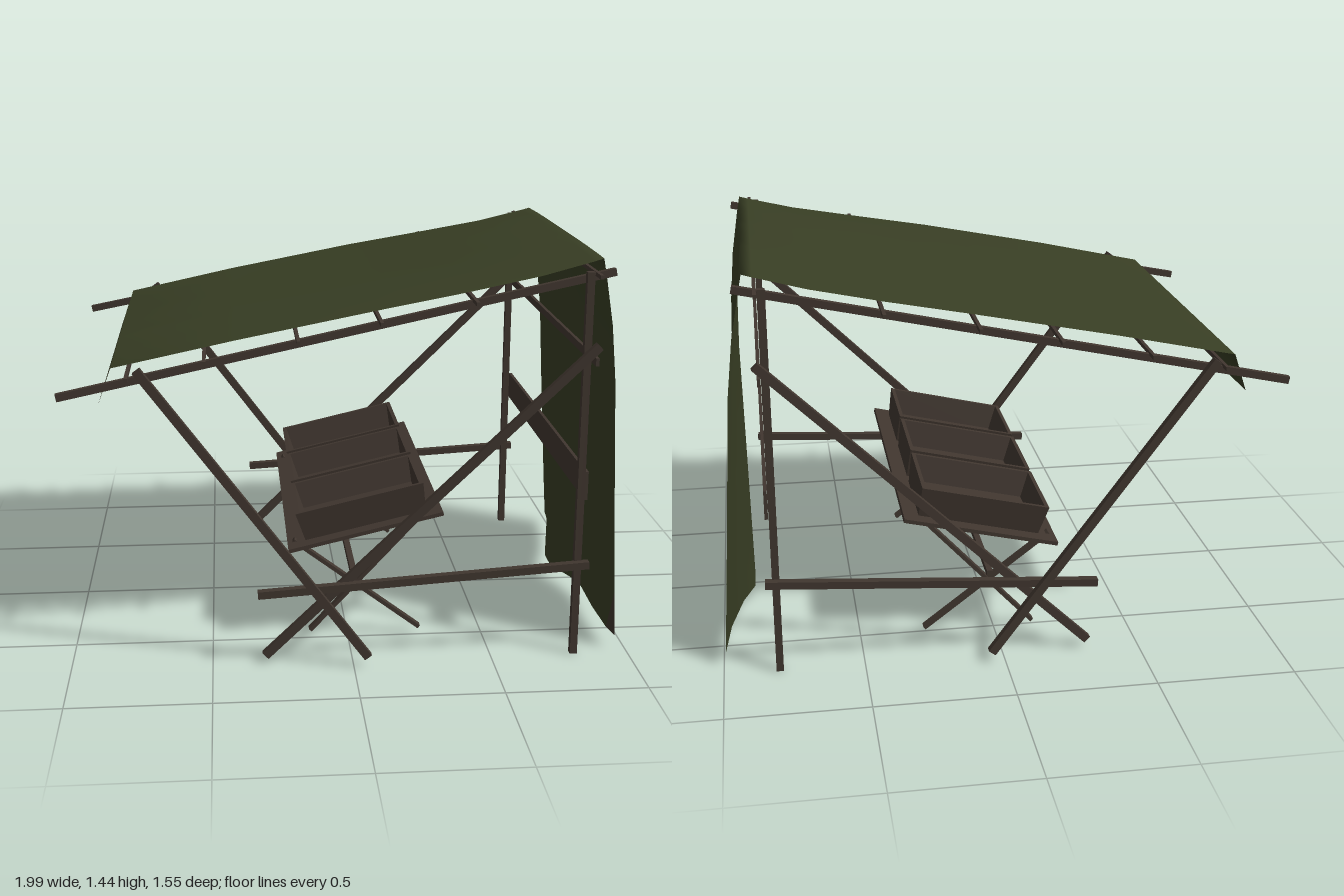
import * as THREE from 'three';

const wood = new THREE.MeshStandardMaterial({ color: 0x40362f });
wood.name = 'dark wood';
const green = new THREE.MeshStandardMaterial({ color: 0x383e24, side: THREE.DoubleSide });
green.name = 'green canvas';
const stain = new THREE.MeshStandardMaterial({ color: 0x40362e, side: THREE.DoubleSide });
stain.name = 'brown canvas';

// Square bar running from point a to point b
function bar(name, a, b, w = 0.026, h = w) {
  const p = new THREE.Vector3(...a), q = new THREE.Vector3(...b);
  const mesh = new THREE.Mesh(new THREE.BoxGeometry(w, h, p.distanceTo(q)), wood);
  mesh.position.copy(p).add(q).multiplyScalar(0.5);
  mesh.lookAt(q);
  mesh.name = name;
  return mesh;
}

// Canvas sheet: front flap, roof and hanging wall lofted from rows
function createCanopy() {
  // x, y, half width, edge drop, fold strength
  const rows = [
    [-0.87, 0.95, 0.67, 0, 0], [-0.845, 1.02, 0.675, 0, 0], [-0.82, 1.09, 0.68, 0, 0],
    [-0.4, 1.18, 0.685, 0, 0], [0.1, 1.283, 0.68, 0.006, 0], [0.4, 1.35, 0.665, 0.02, 0],
    [0.65, 1.405, 0.645, 0.028, 0], [0.83, 1.437, 0.632, 0.015, 0], [0.865, 1.437, 0.63, 0.005, 0],
    [0.872, 1.37, 0.632, 0, 0.05], [0.885, 1.2, 0.64, 0, 0.2], [0.888, 1.0, 0.645, 0, 0.36],
    [0.88, 0.6, 0.653, 0, 0.62], [0.873, 0.22, 0.66, 0, 0.88], [0.87, 0.05, 0.662, 0, 1],
  ];
  const across = [-1, -0.7, -0.4, -0.22, -0.05, 0.15, 0.3, 0.6, 0.88, 1];
  const folds = [0.122, 0.1, 0.055, 0.01, 0.008, 0.06, 0.08, 0.075, 0.08, 0.092];
  const n = across.length, pos = [], cloth = [], patch = [];
  for (const [x, y, half, drop, fold] of rows) {
    across.forEach((c, j) => pos.push(x + folds[j] * fold, y - drop * c ** 4, c * half + 0.016 * fold));
  }
  for (let i = 0; i < rows.length - 1; i++) {
    for (let j = 0; j < n - 1; j++) {
      const a = i * n + j, b = a + 1, c = a + n, d = c + 1;
      const edge = j === n - 2;
      // brown corners at the two ends of the sheet
      (edge && i < 2 ? patch : cloth).push(a, b, d);
      if (edge && i === rows.length - 2) {
        cloth.length -= 3;
        cloth.push(a, b, c);
        patch.push(b, d, c);
        patch.push();
      } else {
        cloth.push(a, d, c);
      }
    }
  }
  const geo = new THREE.BufferGeometry();
  geo.setAttribute('position', new THREE.Float32BufferAttribute(pos, 3));
  geo.setIndex([...cloth, ...patch]);
  geo.addGroup(0, cloth.length, 0);
  geo.addGroup(cloth.length, patch.length, 1);
  geo.computeVertexNormals();
  const mesh = new THREE.Mesh(geo, [green, stain]);
  mesh.name = 'canopy';
  return mesh;
}

// Open tray whose walls flare outward towards the rim
function createTray(length, width, height) {
  const rect = (T, l, w) => new T([[-l, -w], [l, -w], [l, w], [-l, w]].map(([x, y]) => new THREE.Vector2(x / 2, y / 2)));
  const shape = rect(THREE.Shape, length, width);
  shape.holes.push(rect(THREE.Path, length - 0.03, width - 0.03));
  const geo = new THREE.ExtrudeGeometry(shape, { depth: height, bevelEnabled: false });
  geo.rotateX(-Math.PI / 2);
  const p = geo.attributes.position;
  for (let i = 0; i < p.count; i++) {
    if (p.getY(i) < height / 2) {
      p.setX(i, p.getX(i) * 0.95);
      p.setZ(i, p.getZ(i) * 0.9);
    }
  }
  geo.computeVertexNormals();
  const tray = new THREE.Group();
  tray.name = 'tray';
  const walls = new THREE.Mesh(geo, wood);
  walls.name = 'trayWalls';
  const floor = new THREE.Mesh(new THREE.BoxGeometry(length * 0.92, 0.012, width * 0.86), wood);
  floor.position.y = 0.007;
  floor.name = 'trayFloor';
  tray.add(walls, floor);
  return tray;
}

// Sloping table with three trays on crossed legs
function createTable() {
  const table = new THREE.Group();
  table.name = 'table';
  const top = new THREE.Group();
  top.name = 'tableTop';
  top.position.set(0.06, 0.435, -0.015);
  top.rotation.z = Math.atan2(0.13, 0.56);
  const board = new THREE.Mesh(new THREE.BoxGeometry(0.575, 0.014, 1.17), wood);
  board.name = 'tableBoard';
  top.add(board);
  for (const k of [-1, 0, 1]) {
    const tray = createTray(0.475, 0.35, 0.112);
    tray.position.set(0.005, 0.008, k * 0.375);
    top.add(tray);
  }
  table.add(top);
  for (const z of [-0.52, 0.49]) {
    table.add(bar('tableLeg', [-0.2, 0.385, z], [0.265, 0.03, z], 0.03, 0.014));
    table.add(bar('tableLeg', [-0.14, 0.03, z], [0.28, 0.485, z], 0.03, 0.014));
  }
  table.add(bar('tableStretcher', [0.022, 0.245, -0.55], [0.022, 0.245, 0.53], 0.022));
  return table;
}

export function createModel() {
  const model = new THREE.Group();
  model.name = 'marketStall';

  // Mirrored side frames
  for (const s of [-1, 1]) {
    const frame = new THREE.Group();
    frame.name = 'sideFrame';
    frame.add(
      bar('roofRail', [-1, 1.005, s * 0.73], [0.9, 1.392, s * 0.66], 0.022, 0.026),
      bar('wallPost', [0.803, 0, s * 0.7], [0.803, 1.4, s * 0.7], 0.026),
      bar('frontBrace', [-0.73, 1.1, s * 0.762], [0.05, 0.04, s * 0.762], 0.026, 0.03),
      bar('longBrace', [-0.312, 0.03, s * 0.7], [0.838, 1.15, s * 0.735], 0.026, 0.03),
      bar('lowerRail', [-0.337, 0.277, s * 0.735], [0.84, 0.35, s * 0.722], 0.028, 0.027),
    );
    model.add(frame);
  }

  // Roof rods resting on the rails
  for (const x of [-0.765, -0.505, -0.19, 0.09, 0.41, 0.825]) {
    const y = 1.021 + 0.2037 * (x + 1);
    model.add(bar('roofRod', [x, y, -0.77], [x, y, 0.77], 0.012, 0.014));
  }

  // Beam and plank joining the wall posts
  model.add(bar('wallBeam', [0.825, 1.1, -0.765], [0.825, 1.1, 0.765], 0.012, 0.028));
  model.add(bar('wallPlank', [0.824, 0.637, -0.7], [0.824, 0.637, 0.7], 0.012, 0.105));

  model.add(createTable(), createCanopy());
  return model;
}
